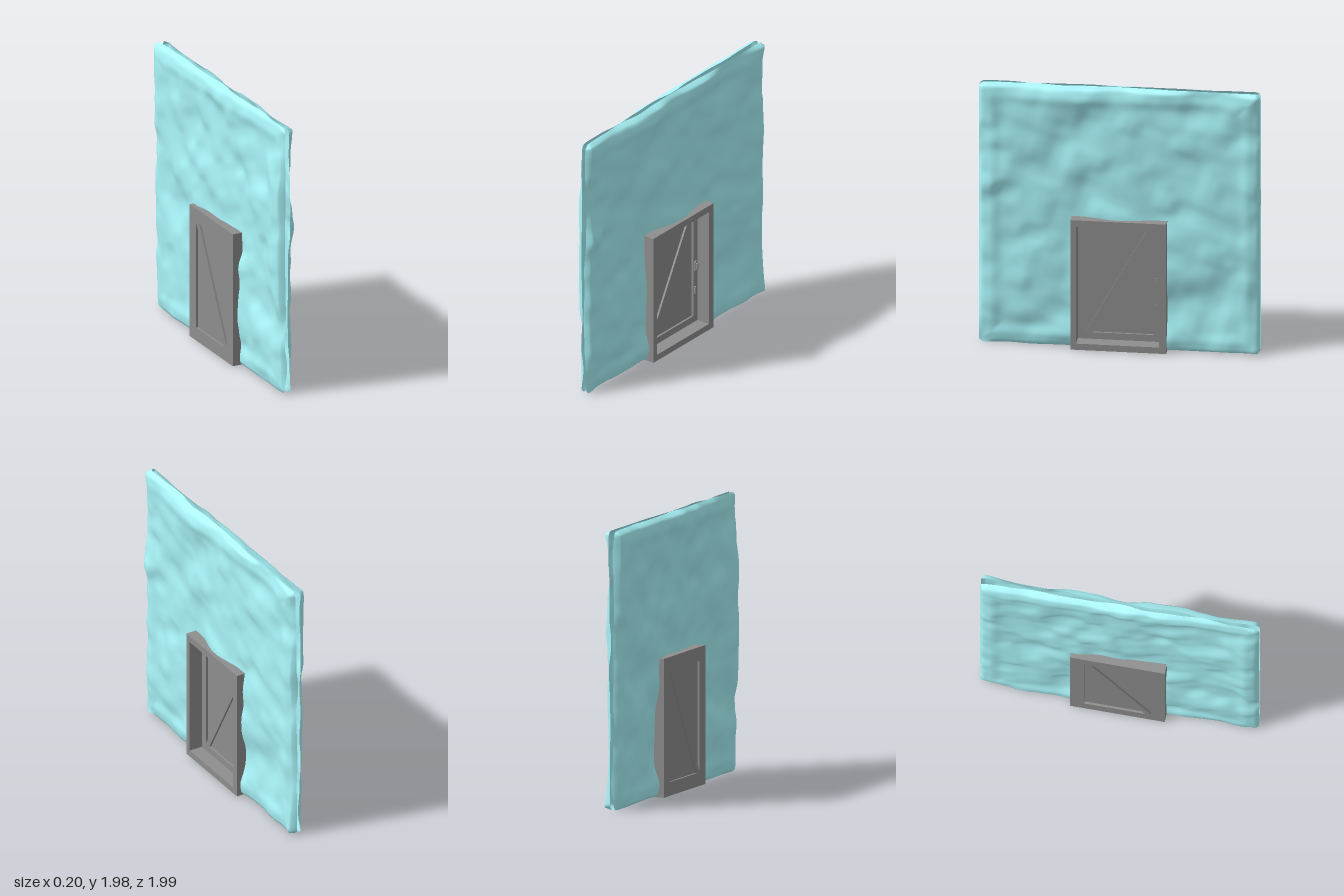
import * as THREE from 'three';

const grey = new THREE.MeshStandardMaterial({ color: 0x8e8e8e });
const ice = new THREE.MeshStandardMaterial({ color: 0xaaf6fb, side: THREE.DoubleSide });

// Seeded smooth value noise, -1..1
function hash(i, j, seed) {
  const s = Math.sin(i * 127.1 + j * 311.7 + seed * 74.7) * 43758.5453;
  return (s - Math.floor(s)) * 2 - 1;
}
function noise(x, y, seed) {
  const i = Math.floor(x), j = Math.floor(y);
  const f = (t) => t * t * t * (t * (t * 6 - 15) + 10);
  const u = f(x - i), v = f(y - j), mix = THREE.MathUtils.lerp;
  return mix(
    mix(hash(i, j, seed), hash(i + 1, j, seed), u),
    mix(hash(i, j + 1, seed), hash(i + 1, j + 1, seed), u), v);
}

// One lumpy wall skin, turned in at its thin rim, with a gap for the doorway
function wallSkin(side, seed) {
  const N = 120, pos = [], index = [];
  for (let j = 0; j <= N; j++) {
    for (let i = 0; i <= N; i++) {
      const a = (i / N) * 2 - 1, b = (j / N) * 2 - 1;
      // slightly rounded corners
      const z = 0.0025 + 0.9925 * a * (1 - 0.012 * Math.abs(b) ** 100);
      const y = 1 + 0.99 * b * (1 - 0.012 * Math.abs(a) ** 100);
      const rim = Math.min(1 - Math.abs(a), 1 - Math.abs(b));
      const curl = Math.min(1, rim / 0.035);
      const round = Math.sqrt(1 - (1 - curl) ** 2);
      const bulge = 0.012 * Math.exp(-(((rim - 0.09) / 0.05) ** 2));
      const wave = 0.02 * noise(z * 3.2 + 9, y * 4 + z, seed)
        + 0.011 * noise(z * 7 + y * 2, y * 8 - z * 3, seed + 3);
      const edge = 0.011 + 0.012 * noise(z * 5, y * 5, seed + 7);
      const x = edge + (0.042 + bulge + wave - edge) * round;
      pos.push(side * x, y, z);
    }
  }
  for (let j = 0; j < N; j++) {
    for (let i = 0; i < N; i++) {
      if (i >= 42 && i < 80 && j < 58) continue;
      const p = j * (N + 1) + i, q = p + N + 1;
      if (side > 0) index.push(p, q, p + 1, p + 1, q, q + 1);
      else index.push(p, p + 1, q, p + 1, q + 1, q);
    }
  }
  const geo = new THREE.BufferGeometry();
  geo.setAttribute('position', new THREE.Float32BufferAttribute(pos, 3));
  geo.setIndex(index);
  geo.computeVertexNormals();
  return geo;
}

const polygon = (pts) => new THREE.Shape(pts.map(([u, y]) => new THREE.Vector2(u, y)));
const rect = (u0, y0, u1, y1) => polygon([[u0, y0], [u1, y0], [u1, y1], [u0, y1]]);

function pill(u, y0, y1, r) {
  const s = new THREE.Shape();
  s.absarc(u, y1 - r, r, 0, Math.PI);
  s.absarc(u, y0 + r, r, Math.PI, 2 * Math.PI);
  s.closePath();
  return s;
}

// Extrudes a shape drawn in (-z, y) along x, from x0 to x1
function slab(name, shape, x0, x1, holes = []) {
  shape.holes.push(...holes);
  const geo = new THREE.ExtrudeGeometry(shape, { depth: x1 - x0, bevelEnabled: false, curveSegments: 8 });
  geo.translate(0, 0, x0).rotateY(Math.PI / 2);
  const mesh = new THREE.Mesh(geo, grey);
  mesh.name = name;
  return mesh;
}

export function createModel() {
  const model = new THREE.Group();
  model.name = 'wallWithDoor';

  // Wall skins
  for (const [name, side, seed] of [['wallSkinLeft', 1, 1], ['wallSkinRight', -1, 2]]) {
    const skin = new THREE.Mesh(wallSkin(side, seed), ice);
    skin.name = name;
    model.add(skin);
  }

  // Deep frame around the doorway
  model.add(slab('doorFrame', rect(-0.34, 0.015, 0.335, 1), -0.1, 0.1, [rect(-0.3, 0.062, 0.284, 0.95)]));

  // Door: stiles, rails and diagonal brace in one piece, over a recessed panel
  const door = new THREE.Group();
  door.name = 'door';
  const upper = polygon([[-0.243, 0.12], [0.184, 0.902], [-0.243, 0.902]]);
  const lower = polygon([[-0.2, 0.112], [0.235, 0.112], [0.235, 0.9]]);
  door.add(slab('doorBraces', rect(-0.3, 0.062, 0.284, 0.95), -0.1, 0, [upper, lower]));
  door.add(slab('doorPanel', rect(-0.26, 0.1, 0.25, 0.92), -0.085, -0.015));

  // Handle and lock
  door.add(slab('handlePlate', pill(0.257, 0.46, 0.545, 0.013), -0.002, 0.012));
  door.add(slab('handleGrip', pill(0.257, 0.475, 0.53, 0.007), 0.01, 0.024));
  door.add(slab('lockSlot', pill(0.252, 0.283, 0.345, 0.006), -0.002, 0.012));
  model.add(door);

  return model;
}
